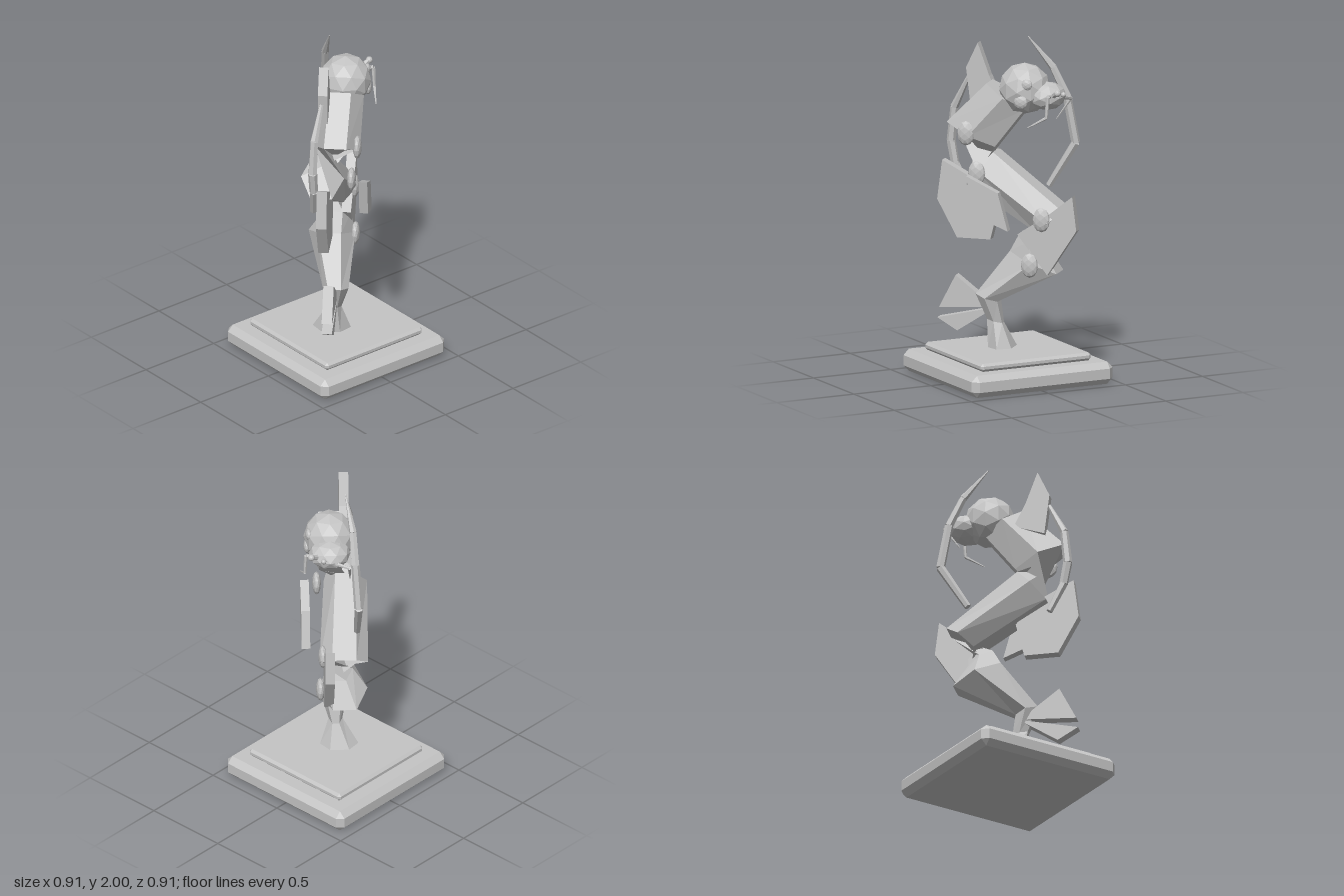
import * as THREE from 'three';
import { ConvexGeometry } from 'three/addons/geometries/ConvexGeometry.js';

export function createModel() {
  const model = new THREE.Group();
  const stone = new THREE.MeshStandardMaterial({ color: 0xc4c4c4, flatShading: true });
  stone.name = 'stone';

  // The fish lies in a vertical plane turned 45 degrees; local x runs backwards, local -z to its side
  const fish = new THREE.Group();
  fish.name = 'fish';
  fish.rotation.y = -Math.PI / 4;
  model.add(fish);

  const add = (parent, name, geometry, x = 0, y = 0, z = 0) => {
    const mesh = new THREE.Mesh(geometry, stone);
    mesh.name = name;
    mesh.position.set(x, y, z);
    parent.add(mesh);
    return mesh;
  };
  // World position to the fish's turned frame
  const toFish = (x, y, z) => new THREE.Vector3((x + z) * Math.SQRT1_2, y, (z - x) * Math.SQRT1_2);

  // Bevelled plinth slabs
  const slab = (name, half, y0, y1, c) => {
    const pts = [];
    const h = (y1 - y0) / 2, mid = (y0 + y1) / 2;
    for (const sx of [-1, 1]) for (const sy of [-1, 1]) for (const sz of [-1, 1])
      for (const [a, b, d] of [[0, c, c], [c, 0, c], [c, c, 0]])
        pts.push(new THREE.Vector3(sx * (half - a), mid + sy * (h - b), sz * (half - d)));
    add(model, name, new ConvexGeometry(pts));
  };
  slab('plinth', 0.457, 0, 0.13, 0.035);
  slab('plinthTop', 0.357, 0.13, 0.177, 0.015);

  // Winding body: each section is belly x, y, back x, y, sideways offset, half width, half turns.
  // The half turn of the middle sections pinches the body at both bends.
  const sections = [
    [-0.13, 1.6, 0.1, 1.74, -0.035, 0.125, 0],
    [0.05, 1.37, 0.34, 1.5, -0.03, 0.13, 0],
    [0.08, 1.31, 0.25, 1.12, 0.06, 0.125, 1],
    [-0.34, 1.0, -0.18, 0.87, 0.035, 0.14, 1],
    [-0.22, 0.78, -0.08, 0.86, 0.01, 0.08, 2],
    [-0.3, 0.63, -0.02, 0.75, 0.04, 0.135, 2],
    [0.05, 0.45, 0.18, 0.49, -0.01, 0.075, 2],
    [0.03, 0.32, 0.12, 0.34, 0, 0.04, 2],
    [-0.03, 0.177, 0.11, 0.177, 0.02, 0.11, 2],
  ];
  const SIDES = 6, verts = [], index = [];
  for (const [bx, by, dx, dy, z, hw, turns] of sections)
    for (let j = 0; j < SIDES; j++) {
      const a = Math.PI * (1 / 6 + turns) + (j / SIDES) * Math.PI * 2;
      const v = 0.5 + 0.5 * Math.cos(a) / Math.cos(Math.PI / 6);
      verts.push(bx + (dx - bx) * v, by + (dy - by) * v, z + hw * Math.sin(a));
    }
  for (let i = 0; i < sections.length - 1; i++)
    for (let j = 0; j < SIDES; j++) {
      const a = i * SIDES + j, b = i * SIDES + (j + 1) % SIDES;
      index.push(a, b, b + SIDES, a, b + SIDES, a + SIDES);
    }
  const last = (sections.length - 1) * SIDES;
  for (let k = 1; k < SIDES - 1; k++) index.push(0, k + 1, k, last, last + k, last + k + 1);
  const bodyGeo = new THREE.BufferGeometry();
  bodyGeo.setAttribute('position', new THREE.Float32BufferAttribute(verts, 3));
  bodyGeo.setIndex(index);
  bodyGeo.computeVertexNormals();
  // Twisted bends show both faces
  const bodyMesh = add(fish, 'body', bodyGeo);
  bodyMesh.material = stone;
  stone.side = THREE.DoubleSide;

  // Head and broad flattened muzzle
  const ball = (name, x, y, z, rx, ry, rz) => {
    const p = toFish(x, y, z);
    add(fish, name, new THREE.IcosahedronGeometry(1, 1), p.x, p.y, p.z).scale.set(rx, ry, rz);
  };
  ball('head', -0.05, 1.715, -0.11, 0.15, 0.15, 0.15);
  ball('muzzle', -0.14, 1.68, -0.205, 0.115, 0.083, 0.12);

  // Eye, cheek and the round studs along the flank
  ball('eye', 0.0, 1.76, -0.23, 0.034, 0.034, 0.02);
  ball('cheek', 0.03, 1.66, -0.215, 0.042, 0.042, 0.02);
  for (const [x, y, z] of [[0.25, 1.45, 0.045], [0.185, 1.21, 0.035], [-0.1, 0.955, -0.22], [-0.045, 0.685, -0.18]])
    ball('flankStud', x, y, z, 0.052, 0.072, 0.026);

  // Nostril knobs
  ball('nostril', -0.135, 1.72, -0.355, 0.02, 0.02, 0.02);
  ball('nostril', -0.195, 1.7, -0.315, 0.016, 0.016, 0.016);

  // Flat fins, outlined in the plane of the fish
  const fin = (name, side, thick, outline) => {
    const shape = new THREE.Shape(outline.map(([x, y]) => new THREE.Vector2(x, y)));
    const geo = new THREE.ExtrudeGeometry(shape, { depth: thick, bevelEnabled: false });
    add(fish, name, geo, 0, 0, -side - thick / 2);
  };
  fin('crestFin', -0.05, 0.055, [[0.19, 1.95], [0.12, 1.76], [0.05, 1.62], [0.23, 1.56], [0.26, 1.8]]);
  fin('backFin', -0.04, 0.06, [[0.4, 1.25], [0.15, 1.12], [0.06, 1.0], [0.11, 0.8], [0.31, 0.8], [0.43, 1.02]]);
  fin('bellyFin', 0.05, 0.055, [[-0.41, 1.1], [-0.435, 0.9], [-0.26, 0.63], [-0.08, 0.86], [-0.26, 0.98]]);
  fin('sideFin', 0.175, 0.05, [[0.19, 1.21], [0.0, 1.12], [-0.06, 0.9], [0.14, 0.98]]);
  fin('upperTailFin', -0.01, 0.06, [[0.08, 0.41], [0.41, 0.39], [0.31, 0.585]]);
  fin('lowerTailFin', -0.01, 0.06, [[0.07, 0.41], [0.3, 0.26], [0.42, 0.33]]);

  // Jointed streamers and whiskers: points are x, y, z, radius
  const UP = new THREE.Vector3(0, 1, 0);
  const strand = (name, points) => {
    const group = new THREE.Group();
    group.name = name;
    model.add(group);
    for (let i = 0; i < points.length - 1; i++) {
      const a = new THREE.Vector3(...points[i]), b = new THREE.Vector3(...points[i + 1]);
      const dir = b.clone().sub(a);
      const geo = new THREE.CylinderGeometry(points[i + 1][3], points[i][3], dir.length(), 6);
      const mid = a.clone().add(b).multiplyScalar(0.5);
      add(group, name + 'Link', geo, mid.x, mid.y, mid.z).quaternion.setFromUnitVectors(UP, dir.normalize());
    }
  };
  strand('frontStreamer', [
    [-0.11, 2.0, -0.04, 0.003], [-0.235, 1.82, -0.11, 0.022], [-0.3, 1.65, -0.16, 0.025],
    [-0.345, 1.38, -0.18, 0.026], [-0.23, 1.12, -0.07, 0.02],
  ]);
  strand('backStreamer', [
    [0.14, 1.74, 0.22, 0.012], [0.185, 1.55, 0.31, 0.024], [0.195, 1.35, 0.33, 0.027],
    [0.18, 1.22, 0.31, 0.025], [0.115, 1.05, 0.26, 0.02],
  ]);
  strand('whisker', [
    [-0.2, 1.68, -0.27, 0.012], [-0.3, 1.65, -0.21, 0.01], [-0.24, 1.52, -0.14, 0.003],
  ]);
  strand('whisker', [
    [-0.12, 1.69, -0.29, 0.012], [-0.08, 1.7, -0.34, 0.012], [-0.07, 1.58, -0.34, 0.009], [0.02, 1.52, -0.28, 0.003],
  ]);
  strand('nostrilStalk', [[-0.135, 1.69, -0.29, 0.018], [-0.135, 1.72, -0.35, 0.014]]);

  return model;
}
